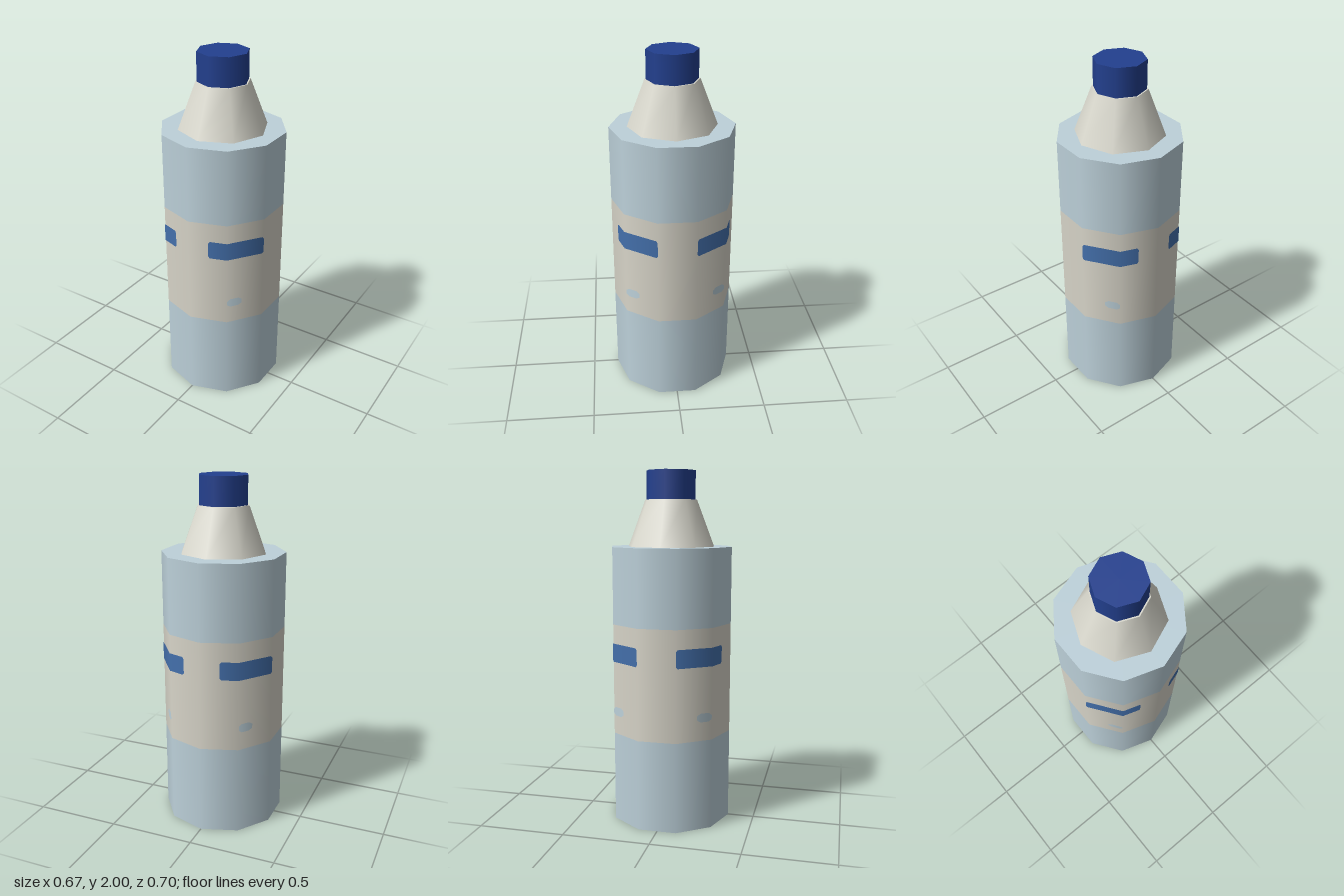
import * as THREE from 'three';

const BODY_R = 0.35;
const SIDES = 10;

const flat = (name, color) => {
  const m = new THREE.MeshStandardMaterial({ color });
  m.name = name;
  return m;
};

// Point on the ten-sided body wall at an angle (degrees, from +z towards +x)
function wallPoint(deg, y, r) {
  const step = 360 / SIDES;
  const i = Math.floor(deg / step);
  const t = deg / step - i;
  const a = THREE.MathUtils.degToRad(i * step);
  const b = THREE.MathUtils.degToRad((i + 1) * step);
  return [
    r * THREE.MathUtils.lerp(Math.sin(a), Math.sin(b), t), y,
    r * THREE.MathUtils.lerp(Math.cos(a), Math.cos(b), t),
  ];
}

// Thin decal hugging the wall; columns are [angle, half height]
function wallDecal(columns, y) {
  const pos = [], nor = [], idx = [];
  columns.forEach(([deg, half], i) => {
    for (const s of [-1, 1]) {
      const p = wallPoint(deg, y + s * half, BODY_R + 0.003);
      const len = Math.hypot(p[0], p[2]);
      pos.push(...p);
      nor.push(p[0] / len, 0, p[2] / len);
    }
    if (i > 0) {
      const k = 2 * i - 2;
      idx.push(k, k + 2, k + 3, k, k + 3, k + 1);
    }
  });
  const g = new THREE.BufferGeometry();
  g.setAttribute('position', new THREE.Float32BufferAttribute(pos, 3));
  g.setAttribute('normal', new THREE.Float32BufferAttribute(nor, 3));
  g.setIndex(idx);
  return g;
}

export function createModel() {
  const group = new THREE.Group();
  const paleBlue = flat('pale blue', 0xbdd1da);
  const cream = flat('cream', 0xd8d5c9);
  const ivory = flat('ivory', 0xdad9ce);
  const navy = flat('navy', 0x23408f);
  const midBlue = flat('mid blue', 0x4470ac);

  const add = (name, geometry, material) => {
    const mesh = new THREE.Mesh(geometry, material);
    mesh.name = name;
    group.add(mesh);
    return mesh;
  };
  const prism = (name, rTop, rBottom, y0, y1, sides, material, open = false) => {
    const g = new THREE.CylinderGeometry(rTop, rBottom, y1 - y0, sides, 1, open);
    g.translate(0, (y0 + y1) / 2, 0);
    return add(name, g, material);
  };

  // Body wall in three bands, closed by two discs
  prism('lowerBody', BODY_R, BODY_R, 0, 0.52, SIDES, paleBlue, true);
  prism('labelBand', BODY_R, BODY_R, 0.52, 1.15, SIDES, cream, true);
  prism('upperBody', BODY_R, BODY_R, 1.15, 1.58, SIDES, paleBlue, true);
  const disc = () => new THREE.CircleGeometry(BODY_R, SIDES, Math.PI / 2);
  add('shoulder', disc().rotateX(-Math.PI / 2).translate(0, 1.58, 0), paleBlue);
  add('base', disc().rotateX(Math.PI / 2), paleBlue);

  // Tapered neck and cap
  prism('neck', 0.15, 0.25, 1.58, 1.84, 8, ivory);
  prism('cap', 0.142, 0.142, 1.84, 2, 8, navy);

  // Four label bars and four small dots, mirrored about both axes
  const bar = [[18.5, 0.041], [20, 0.052], [36, 0.052], [70.5, 0.052], [72, 0.041]];
  const dot = [[36.3, 0.012], [39.5, 0.025], [47.5, 0.025], [51, 0.012]];
  const mirrored = (cols, q) => {
    const base = q * 90 + (q % 2 ? 90 : 0);
    return q % 2 ? cols.map(([a, h]) => [base - a, h]).reverse()
      : cols.map(([a, h]) => [base + a, h]);
  };
  for (let q = 0; q < 4; q++) {
    const barCols = mirrored(bar, q);
    add('labelBar' + (q + 1), wallDecal(barCols, 0.99), midBlue);
    add('labelDot' + (q + 1), wallDecal(mirrored(dot, q), 0.652), paleBlue);
  }
  return group;
}
